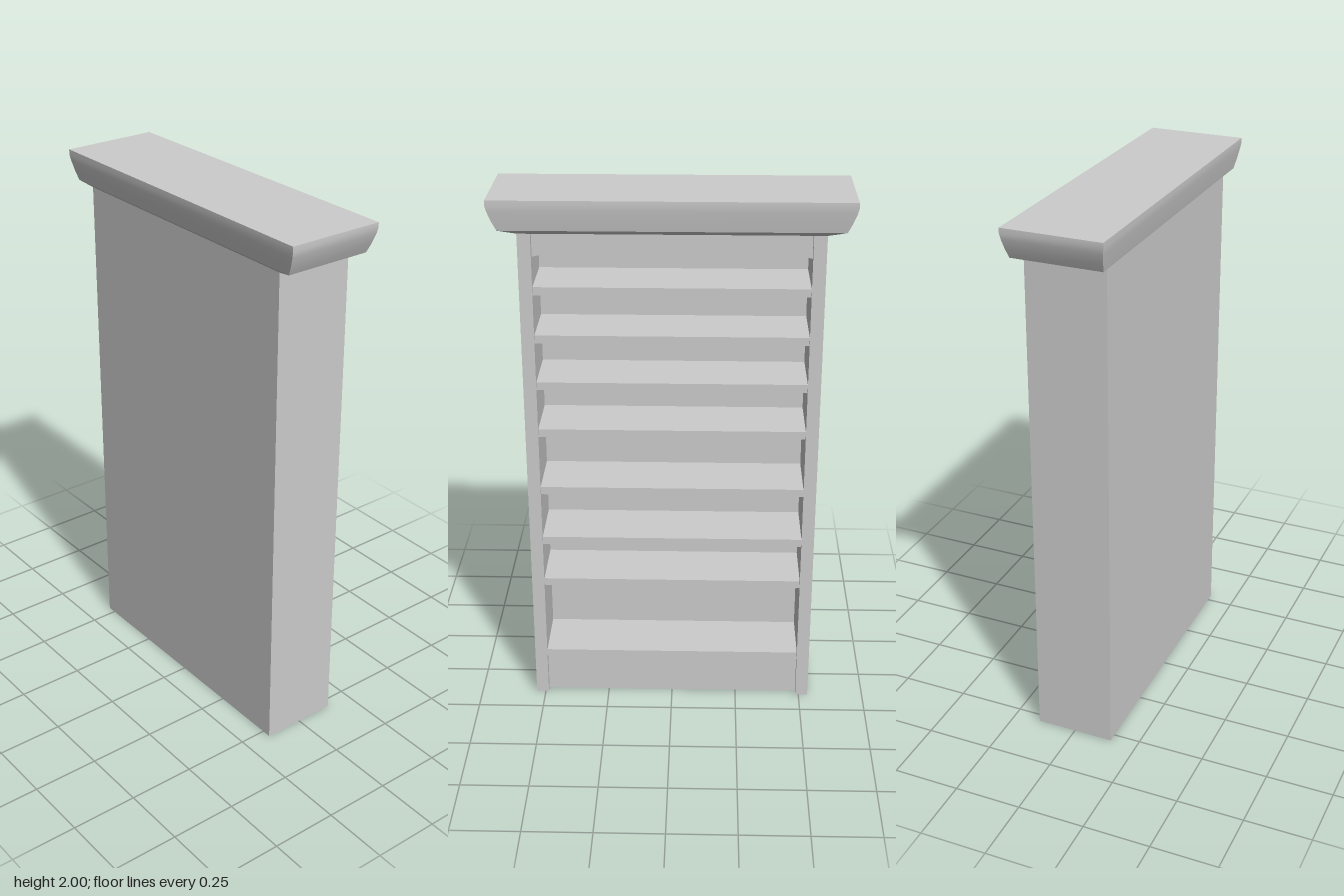
import * as THREE from 'three';
import { toCreasedNormals } from 'three/addons/utils/BufferGeometryUtils.js';

const material = new THREE.MeshStandardMaterial({ color: 0xcccccc });
const HALF_W = 0.535, HALF_D = 0.148, TOP = 1.88, SIDE = 0.047;
const INNER = HALF_W - SIDE;   // half width between the sides
const BACK = 0.085;            // inner face of the rear panel
const SHELF_FRONT = -0.141, RECESS = -0.122;

function part(group, name, geometry) {
  const mesh = new THREE.Mesh(geometry, material);
  mesh.name = name;
  group.add(mesh);
  return mesh;
}

// Box given by its limits
function box(group, name, x0, x1, y0, y1, z0, z1) {
  const mesh = part(group, name, new THREE.BoxGeometry(x1 - x0, y1 - y0, z1 - z0));
  mesh.position.set((x0 + x1) / 2, (y0 + y1) / 2, (z0 + z1) / 2);
}

// Closed loft through rectangular rings [halfX, halfZ, y], bottom to top
function rectLoft(rings) {
  const pos = [], idx = [];
  for (const [x, z, y] of rings) pos.push(x, y, z, x, y, -z, -x, y, -z, -x, y, z);
  for (let r = 0; r < rings.length - 1; r++) {
    for (let i = 0; i < 4; i++) {
      const a = r * 4 + i, b = r * 4 + (i + 1) % 4;
      idx.push(a, b, b + 4, a, b + 4, a + 4);
    }
  }
  const t = (rings.length - 1) * 4;
  idx.push(0, 2, 1, 0, 3, 2, t, t + 1, t + 2, t, t + 2, t + 3);
  const geometry = new THREE.BufferGeometry();
  geometry.setAttribute('position', new THREE.Float32BufferAttribute(pos, 3));
  geometry.setIndex(idx);
  return toCreasedNormals(geometry, 0.5);
}

export function createModel() {
  const group = new THREE.Group();
  group.name = 'bookcase';

  // Carcass: two sides, closed panel and plinth; the open side faces -z
  box(group, 'leftSide', INNER, HALF_W, 0, TOP, -HALF_D, HALF_D);
  box(group, 'rightSide', -HALF_W, -INNER, 0, TOP, -HALF_D, HALF_D);
  box(group, 'backPanel', -INNER, INNER, 0, TOP, BACK, HALF_D);
  box(group, 'plinth', -INNER, INNER, 0, 0.16, RECESS, BACK);

  // Shelves, by the height of their upper face
  for (const y of [0.19, 0.51, 0.69, 0.9, 1.135, 1.32, 1.5, 1.68]) {
    box(group, 'shelf', -INNER, INNER, y - 0.03, y, SHELF_FRONT, BACK);
  }

  // Arched valance under the cornice
  const arch = new THREE.Shape();
  arch.moveTo(-INNER, TOP);
  arch.lineTo(-INNER, 1.785);
  arch.quadraticCurveTo(0, 1.895, INNER, 1.785);
  arch.lineTo(INNER, TOP);
  arch.closePath();
  const valance = part(group, 'valance', new THREE.ExtrudeGeometry(arch, {
    depth: 0.03, bevelEnabled: false, curveSegments: 16,
  }));
  valance.position.z = RECESS;

  // Cornice flaring outwards to the top
  part(group, 'cornice', rectLoft([
    [HALF_W, HALF_D, 1.875],
    [0.6, 0.165, 1.89],
    [0.617, 0.172, 1.925],
    [0.63, 0.178, 1.96],
    [0.635, 0.181, 1.98],
    [0.635, 0.181, 2],
  ]));

  return group;
}
